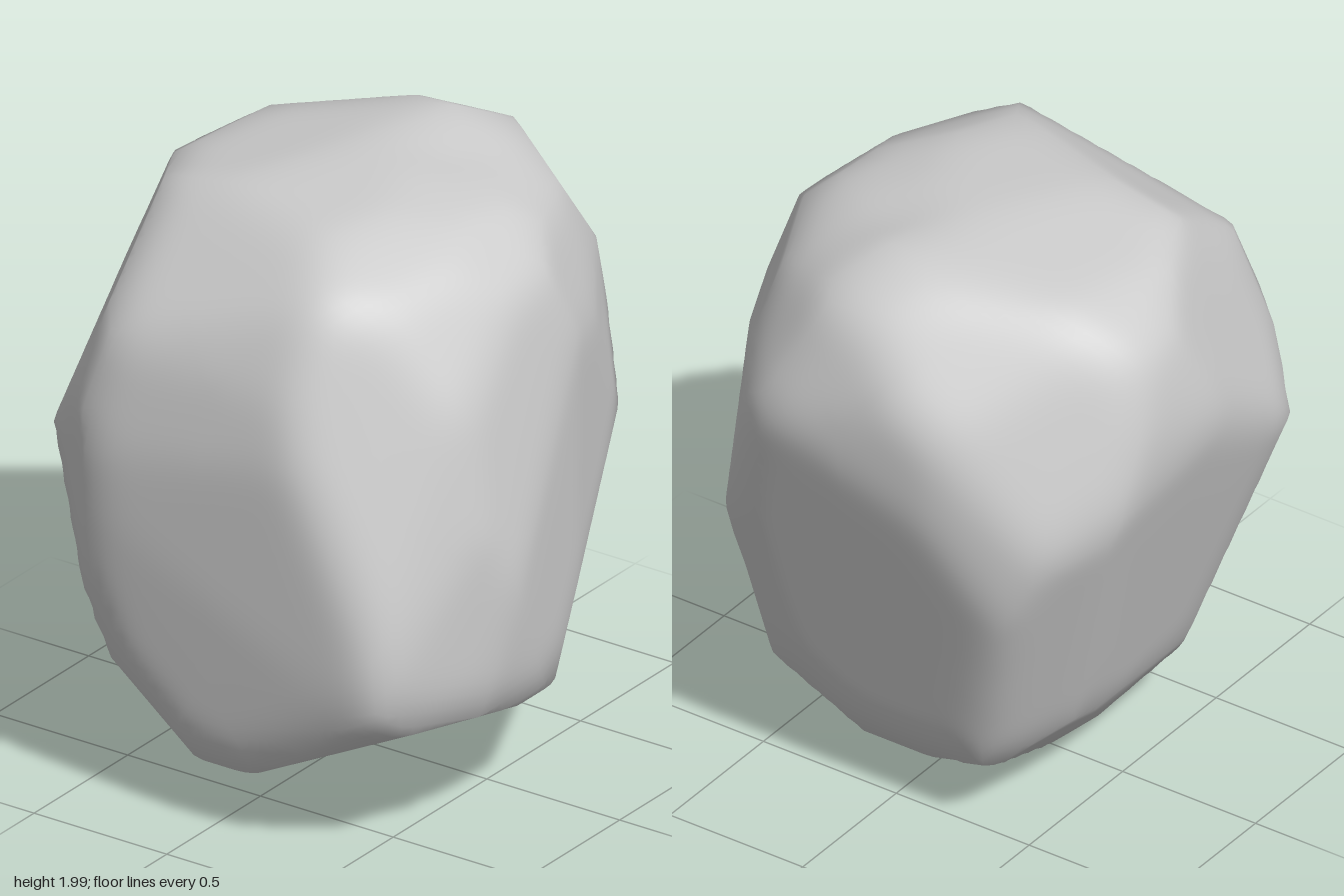
import * as THREE from 'three';
import { mergeVertices } from 'three/addons/utils/BufferGeometryUtils.js';

const AZ = THREE.MathUtils.degToRad(36), EL = THREE.MathUtils.degToRad(25);
const V = (x, y, z) => new THREE.Vector3(x, y, z);

// Right and up axes of a plane the boulder's outline is drawn on
function axes(az, el) {
  return [
    V(Math.cos(az), 0, -Math.sin(az)),
    V(-Math.sin(az) * Math.sin(el), Math.cos(el), -Math.cos(az) * Math.sin(el)),
  ];
}

// Every edge of an outline becomes a cutting plane { n, h } about the boulder's middle
function cuts([right, up], pts) {
  return pts.map(([ax, ay], i) => {
    const [bx, by] = pts[(i + 1) % pts.length];
    const edge = new THREE.Vector2(by - ay, ax - bx).normalize();
    if (edge.x * ax + edge.y * ay < 0) edge.negate();
    const h = Math.max(...pts.map(([x, y]) => x * edge.x + y * edge.y));
    return { n: V(0, 0, 0).addScaledVector(right, edge.x).addScaledVector(up, edge.y), h };
  });
}

function cuttingPlanes() {
  const front = cuts(axes(0, 0), [[.04, 1], [.56, .88], [.65, .78], [.82, -.14], [.77, -.59],
    [-.07, -1], [-.31, -.95], [-.5, -.69], [-.83, .39], [-.73, .82], [-.6, .88]]);
  const side = cuts(axes(Math.PI / 2, 0), [[.51, 1.01], [.69, .92], [.84, .48], [.52, -.8], [.04, -1],
    [-.4, -.96], [-.78, -.77], [-.85, .15], [-.77, .53], [-.62, .85], [-.42, .93]]);
  const plan = cuts(axes(0, Math.PI / 2), [[.25, .84], [.49, .73], [.7, .2], [.82, -.28], [.66, -.8],
    [-.42, -.84], [-.73, -.57], [-.82, -.05], [-.79, .42], [-.63, .66], [-.32, .78]]);
  // Oblique outlines cut the corners
  const frontCorner = cuts(axes(AZ, EL), [[-.93, .08], [-.84, -.54], [-.43, -1.03], [.6, -.77],
    [.83, .17], [.75, .64], [.5, 1.01], [.2, 1.08], [-.25, 1.05], [-.55, .91]]);
  const backCorner = cuts(axes(AZ + Math.PI, EL), [[-.57, .83], [-.36, .95], [.1, 1.04], [.75, .69], [.89, .34],
    [.93, .12], [.58, -.69], [.23, -.96], [-.33, -.93], [-.68, -.63], [-.82, -.13], [-.74, .43]]);
  const underside = cuts(axes(Math.PI - AZ, -EL), [[.3, 1.09], [.45, 1.01], [.72, .69], [.91, .2], [.58, -.62],
    [.23, -.93], [-.36, -1.06], [-.66, -.87], [-1.01, -.47], [-.8, .45], [-.57, .8], [-.33, .97]]);
  // Broad bevel on the front corner
  const n = V(1, 0.45, 1), len = n.length();
  const bevel = { n: n.divideScalar(len), h: 1.32 / len };
  return [...front, ...side, ...plan, ...frontCorner, ...backCorner, ...underside, bevel];
}

// Averages normals with their neighbours for soft, worn edges
function softenNormals(geo, passes) {
  const idx = geo.index.array, normal = geo.attributes.normal;
  for (let k = 0; k < passes; k++) {
    const sum = Float32Array.from(normal.array);
    for (let t = 0; t < idx.length; t += 3)
      for (let a = 0; a < 3; a++)
        for (let b = 0; b < 3; b++)
          for (let c = 0; c < 3; c++) sum[idx[t + a] * 3 + c] += normal.array[idx[t + b] * 3 + c];
    normal.array.set(sum);
    geo.normalizeNormals();
  }
}

export function createModel() {
  const group = new THREE.Group();
  group.name = 'rock';

  let geo = new THREE.IcosahedronGeometry(1, 32);
  geo.deleteAttribute('uv');
  geo.deleteAttribute('normal');
  geo = mergeVertices(geo, 1e-4);

  // Push each direction out to the nearest cutting plane
  const planes = cuttingPlanes(), pos = geo.attributes.position, d = V(0, 0, 0);
  for (let i = 0; i < pos.count; i++) {
    d.fromBufferAttribute(pos, i).normalize();
    let r = Infinity;
    for (const { n, h } of planes) {
      const c = n.dot(d);
      if (c > 1e-4) r = Math.min(r, h / c);
    }
    d.multiplyScalar(r);
    // Shallow dent on the top
    if (d.y > 0.7) d.y -= 0.03 * Math.exp(-((d.x - 0.15) ** 2 + (d.z + 0.28) ** 2) / 0.02);
    pos.setXYZ(i, d.x, d.y + 1, d.z);
  }
  geo.computeVertexNormals();
  softenNormals(geo, 12);

  const boulder = new THREE.Mesh(geo, new THREE.MeshStandardMaterial({ color: 0xcccccc }));
  boulder.name = 'boulder';
  group.add(boulder);
  return group;
}
